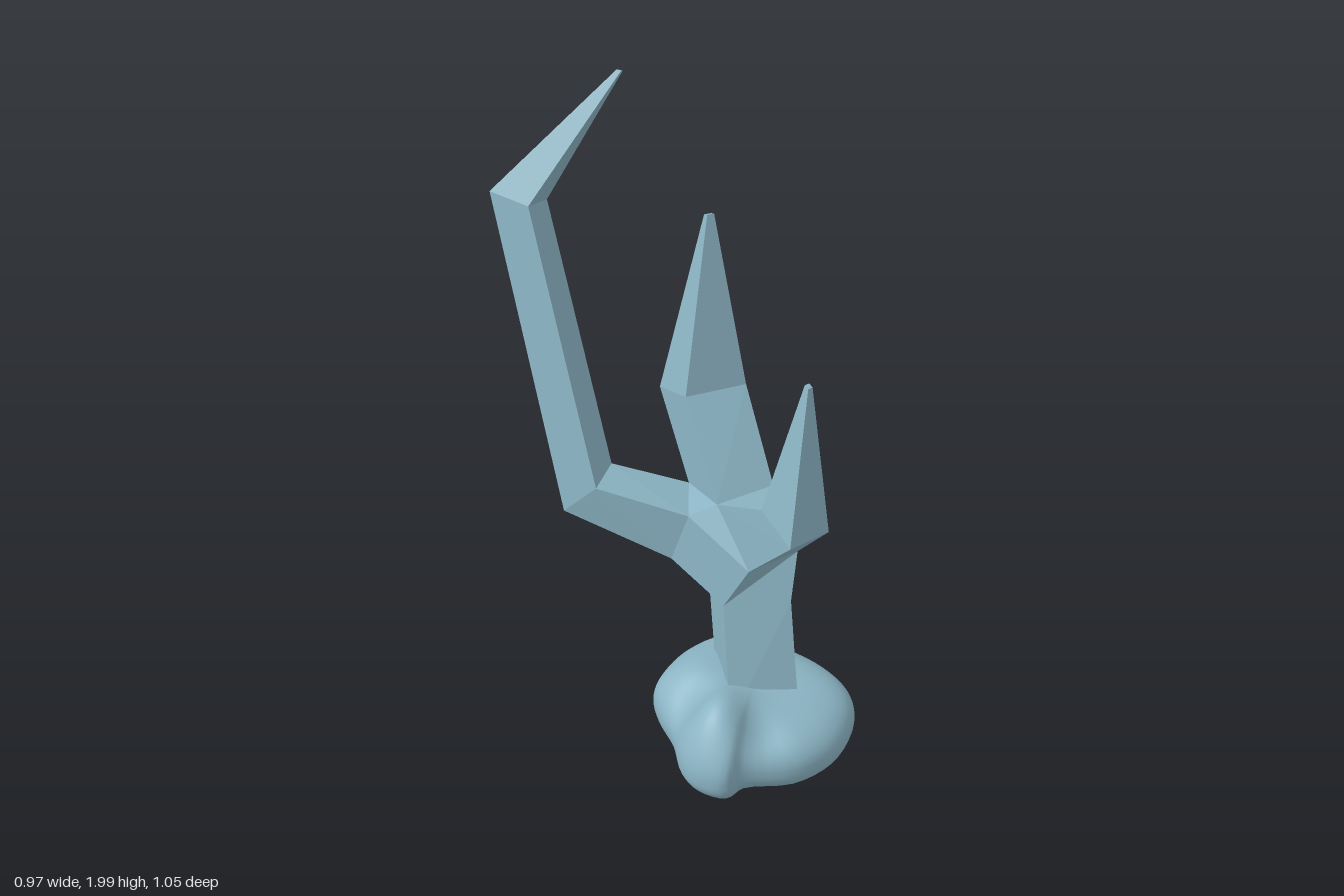
import * as THREE from 'three';
import { mergeVertices } from 'three/addons/utils/BufferGeometryUtils.js';

const COLOR = 0x8cb5c5;

// Flat-shaded mesh from a list of polygons (corners counter-clockwise from outside)
function facetMesh(name, polygons) {
  const pos = [];
  for (const p of polygons)
    for (let i = 1; i < p.length - 1; i++) pos.push(...p[0], ...p[i], ...p[i + 1]);
  const g = new THREE.BufferGeometry();
  g.setAttribute('position', new THREE.Float32BufferAttribute(pos, 3));
  g.computeVertexNormals();
  const mesh = new THREE.Mesh(g, new THREE.MeshStandardMaterial({ color: COLOR, flatShading: true }));
  mesh.name = name;
  return mesh;
}

// Sides between successive four-cornered rings
function loft(rings) {
  const faces = [];
  for (let r = 0; r < rings.length - 1; r++)
    for (let i = 0; i < 4; i++) {
      const j = (i + 1) % 4;
      faces.push([rings[r][i], rings[r][j], rings[r + 1][j], rings[r + 1][i]]);
    }
  return faces;
}

// Branch that tapers from its last ring to a tiny blunt tip
function branch(name, rings, tip) {
  const last = rings[rings.length - 1];
  const mid = [0, 1, 2].map(k => last.reduce((s, p) => s + p[k], 0) / 4);
  const end = last.map(p => p.map((v, k) => tip[k] + (v - mid[k]) * 0.11));
  return facetMesh(name, [...loft([...rings, end]), end]);
}

// Lumpy base: a sphere remapped onto a plan outline with raised lobes
function makeRock() {
  const outline = new THREE.CatmullRomCurve3([
    [-0.07, 0.02], [-0.122, 0.10], [-0.122, 0.18], [-0.095, 0.295], [-0.09, 0.41], [-0.055, 0.48],
    [0.02, 0.523], [0.085, 0.49], [0.25, 0.5], [0.38, 0.445], [0.46, 0.35], [0.485, 0.28],
    [0.48, 0.21], [0.435, 0.12], [0.365, 0.04], [0.265, -0.05], [0.13, -0.095], [0.01, -0.05],
  ].map(([x, z]) => new THREE.Vector3(x, 0, z)), true);
  const bump = (x, z, cx, cz, s) => Math.exp(-((x - cx) ** 2 + (z - cz) ** 2) / (s * s));
  const g = new THREE.SphereGeometry(1, 72, 36);
  const p = g.attributes.position, uv = g.attributes.uv;
  for (let i = 0; i < p.count; i++) {
    const c = p.getY(i);
    const r = Math.pow(Math.max(0, 1 - c * c), 0.36);
    const o = outline.getPoint(((uv.getX(i) % 1) + 1) % 1);
    const x = 0.18 + (o.x - 0.18) * r, z = 0.22 + (o.z - 0.22) * r;
    const top = 0.265 + 0.10 * bump(x, z, 0.02, 0.38, 0.13) + 0.03 * bump(x, z, 0.0, 0.13, 0.12)
      - 0.05 * bump(x, z, -0.06, 0.27, 0.07) - 0.04 * bump(x, z, 0.14, 0.43, 0.07);
    const bottom = 0.004;
    const y = c > 0 ? 0.13 + (top - 0.13) * Math.pow(c, 0.85) : 0.13 - (0.13 - bottom) * Math.pow(-c, 0.9);
    p.setXYZ(i, x, y, z);
  }
  g.deleteAttribute('uv');
  g.deleteAttribute('normal');
  const smooth = mergeVertices(g, 1e-4);
  smooth.computeVertexNormals();
  const mesh = new THREE.Mesh(smooth, new THREE.MeshStandardMaterial({ color: COLOR }));
  mesh.name = 'rockBase';
  return mesh;
}

export function createModel() {
  const group = new THREE.Group();
  group.name = 'branchingCoral';

  // Trunk rings
  const base = [[0.085, 0.18, 0.3], [0.3, 0.18, 0.3], [0.3, 0.18, 0.07], [0.085, 0.18, 0.07]];
  const neck = [[0.085, 0.54, 0.165], [0.29, 0.54, 0.18], [0.29, 0.44, -0.005], [0.077, 0.45, 0]];
  const [g1, g2, h2, h1] = neck;

  // Shared corners where the three branches leave the trunk
  const b1 = [0.153, 0.688, 0.195], b2 = [0.317, 0.688, 0.127];
  const s1 = [0.085, 0.835, 0.046], s2 = [0.27, 0.836, -0.015];
  const k1 = [0.035, 0.785, -0.14], k2 = [0.235, 0.735, -0.21];
  const m1 = [-0.05, 0.635, 0.03], m2 = [0.0, 0.63, -0.14], m4 = [0, 0.8, 0.043];

  group.add(facetMesh('trunk', [
    ...loft([base, neck]),
    [g1, g2, b2, b1],
    [g2, h2, k2, s2, b2],
    [h2, h1, m2, k1, k2],
    [h1, g1, m1, m2],
    [g1, b1, m4, m1],
    [m4, b1, s1], [m4, s1, k1],
  ]));

  group.add(branch('frontBranch', [
    [b1, b2, s2, s1],
    [[0.238, 0.875, 0.335], [0.366, 0.87, 0.272], [0.311, 0.925, 0.152], [0.18, 0.93, 0.213]],
  ], [0.3, 1.34, 0.213]));

  group.add(branch('backBranch', [
    [s1, s2, k2, k1],
    [[0.03, 1.085, -0.165], [0.222, 1.08, -0.208], [0.174, 1.005, -0.388], [-0.018, 1.01, -0.345]],
  ], [0.127, 1.6, -0.325]));

  group.add(branch('tallSideBranch', [
    [m1, m4, k1, m2],
    [[-0.355, 0.76, -0.102], [-0.26, 0.862, -0.06], [-0.194, 0.847, -0.197], [-0.289, 0.745, -0.237]],
    [[-0.487, 1.677, -0.428], [-0.386, 1.656, -0.356], [-0.323, 1.62, -0.46], [-0.425, 1.63, -0.526]],
  ], [-0.1, 1.99, -0.475]));

  group.add(makeRock());
  return group;
}
